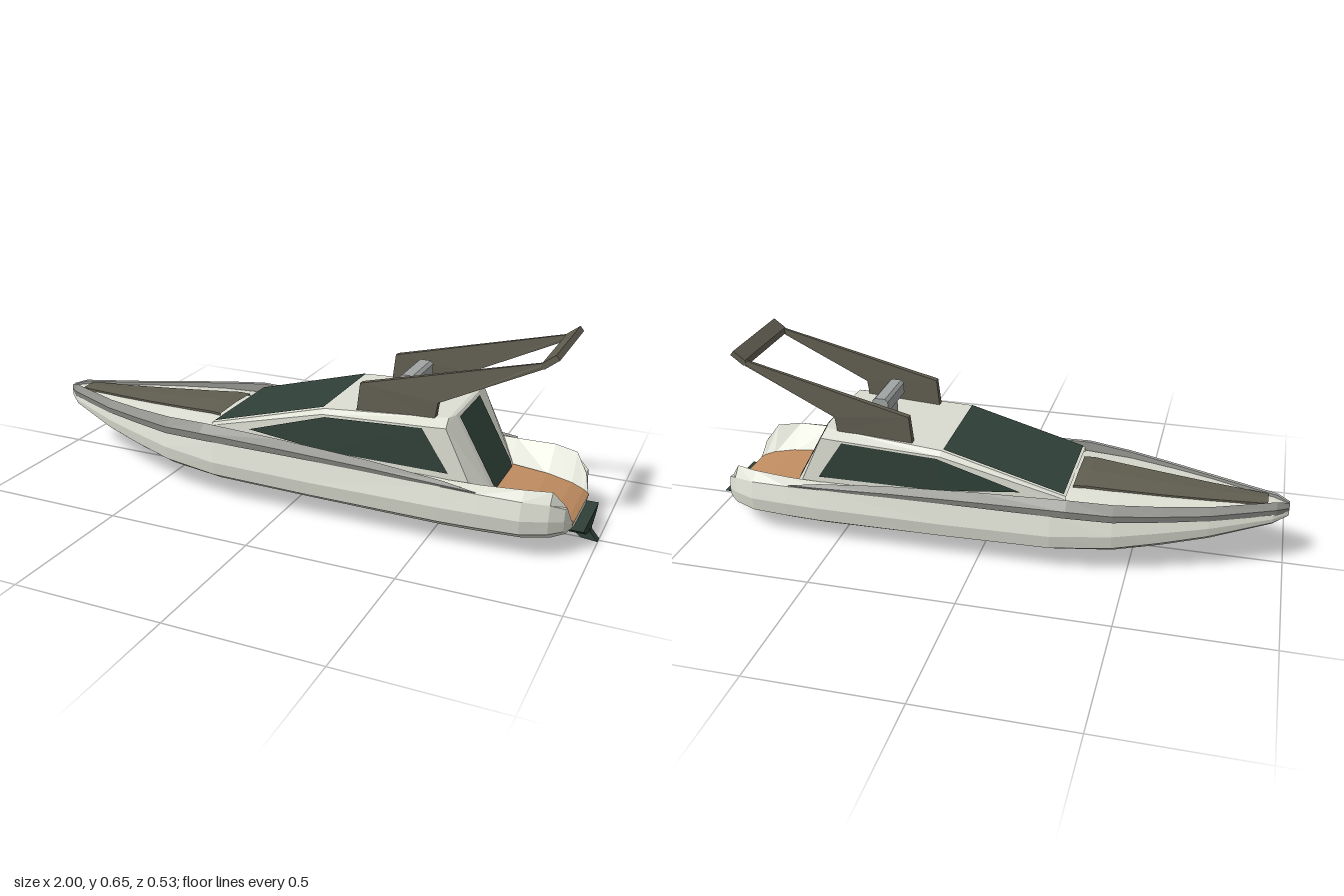
import * as THREE from 'three';

const paint = (name, color) => new THREE.MeshStandardMaterial({ name, color, side: THREE.DoubleSide });

// Flat-faced shell from convex polygons on the +z side, mirrored to -z
function shell(polys) {
  const pos = [];
  for (const p of polys) {
    for (let i = 1; i < p.length - 1; i++) {
      const tri = [p[0], p[i], p[i + 1]];
      tri.forEach(v => pos.push(...v));
      tri.reverse().forEach(([x, y, z]) => pos.push(x, y, -z));
    }
  }
  const g = new THREE.BufferGeometry();
  g.setAttribute('position', new THREE.Float32BufferAttribute(pos, 3));
  g.computeVertexNormals();
  return g;
}

// Quads between half cross-sections ordered along +x
function loft(rows) {
  const polys = [];
  for (let i = 0; i < rows.length - 1; i++) {
    for (let j = 0; j < rows[i].length - 1; j++) {
      polys.push([rows[i][j], rows[i + 1][j], rows[i + 1][j + 1], rows[i][j + 1]]);
    }
  }
  return polys;
}

// Side profile in x, y extruded across z, centred on z = 0
function slab(points, depth) {
  const shape = new THREE.Shape(points.map(p => new THREE.Vector2(...p)));
  return new THREE.ExtrudeGeometry(shape, { depth, bevelEnabled: false }).translate(0, 0, -depth / 2);
}

export function createModel() {
  const boat = new THREE.Group();
  boat.name = 'motorYacht';
  const white = paint('white gelcoat', 0xdcded2);
  const glass = paint('dark glass', 0x2f4038);
  const brown = paint('olive brown', 0x605d50);
  const teak = paint('teak', 0xc18d61);
  const railGrey = paint('rail grey', 0x8a8a86);
  const radarGrey = paint('radar grey', 0xa0a4a2);
  const add = (name, geometry, material) => {
    const m = new THREE.Mesh(geometry, material);
    m.name = name;
    boat.add(m);
    return m;
  };

  // Hull: x, half width, keel y, widest y, shoulder y, deck edge y, deck centre y
  const stations = [
    [-1, 0.01, 0.185, 0.195, 0.205, 0.22, 0.225],
    [-0.95, 0.052, 0.162, 0.19, 0.202, 0.225, 0.232],
    [-0.75, 0.14, 0.11, 0.175, 0.205, 0.228, 0.236],
    [-0.6, 0.19, 0.08, 0.165, 0.205, 0.231, 0.243],
    [-0.45, 0.235, 0.057, 0.155, 0.207, 0.234, 0.251],
    [-0.25, 0.265, 0.046, 0.145, 0.215, 0.235, 0.256],
    [0.1, 0.267, 0.04, 0.14, 0.214, 0.225, 0.24],
    [0.55, 0.267, 0.033, 0.14, 0.205, 0.215, 0.18],
    [0.67, 0.262, 0.034, 0.14, 0.2, 0.216, 0.15],
    [0.8, 0.25, 0.037, 0.137, 0.195, 0.221, 0.14],
    [0.88, 0.215, 0.043, 0.135, 0.185, 0.217, 0.122],
    [0.92, 0.175, 0.055, 0.125, 0.165, 0.16, 0.105],
    [0.935, 0.12, 0.072, 0.098, 0.102, 0.1, 0.098],
  ];
  const hullRows = stations.map(([x, w, keel, wide, shoulder, edge, centre]) => {
    const aft = x > 0.6;
    const up = f => keel + f * (wide - keel);
    return [
      [x, keel, 0], [x, up(0.05), 0.45 * w], [x, up(0.2), 0.77 * w], [x, up(0.52), 0.965 * w],
      [x, wide, w], [x, shoulder, 0.945 * w], [x, edge, aft ? Math.max(0.8 * w, 0.117) : 0.8 * w],
      [x, aft ? centre : edge + 0.8 * (centre - edge), aft ? 0.116 : 0.45 * w], [x, centre, 0],
    ];
  });
  const transom = [...hullRows[hullRows.length - 1]].reverse();
  add('hull', shell([...loft(hullRows), transom, [...hullRows[0]]]), white);

  // Side rail: x, outer z, low y, top y, inner z
  const rail = [
    [-1, 0.012, 0.2, 0.232, 0], [-0.96, 0.047, 0.2, 0.243, 0.024], [-0.75, 0.141, 0.202, 0.242, 0.108],
    [-0.6, 0.191, 0.204, 0.248, 0.156], [-0.45, 0.236, 0.206, 0.256, 0.197], [-0.3, 0.258, 0.214, 0.266, 0.22],
    [0, 0.262, 0.215, 0.257, 0.224], [0.3, 0.259, 0.21, 0.242, 0.228], [0.55, 0.255, 0.203, 0.222, 0.236],
    [0.66, 0.249, 0.2, 0.206, 0.242],
  ].map(([x, out, low, top, inn]) => [
    [x, low, out - 0.004], [x, low + 0.5 * (top - low), out],
    [x, top, inn + 0.006], [x, top - 0.004, inn], [x, low, Math.max(inn - 0.008, 0)],
  ]);
  add('sideRail', shell(loft(rail)), railGrey);

  // Cabin: base, shoulder, roof edge and centre at each step
  const roofCorner = [0.54, 0.4, 0.165], shoulder = [0.545, 0.38, 0.208], base = [0.64, 0.18, 0.205];
  const innerTop = [0.55, 0.395, 0.12], innerBottom = [0.685, 0.15, 0.118];
  const cabinRows = [
    [[-0.29, 0.235, 0.19], [-0.29, 0.247, 0.19], [-0.29, 0.257, 0.186], [-0.29, 0.257, 0]],
    [[0.13, 0.215, 0.212], [0.13, 0.36, 0.207], [0.13, 0.374, 0.188], [0.13, 0.374, 0]],
    [[0.5, 0.19, 0.212], [0.5, 0.378, 0.21], [0.5, 0.397, 0.168], [0.5, 0.397, 0]],
    [base, shoulder, roofCorner, [0.54, 0.4, 0]],
  ];
  add('cabin', shell([
    ...loft(cabinRows),
    [shoulder, base, innerBottom, innerTop], [roofCorner, shoulder, innerTop],
    [roofCorner, innerTop, [0.55, 0.395, 0], [0.54, 0.4, 0]],
    [innerTop, innerBottom, [0.685, 0.15, 0], [0.55, 0.395, 0]],
  ]), white);

  // Windows, just proud of the cabin faces
  add('windshield', shell([
    [[-0.282, 0.264, 0.183], [0.124, 0.377, 0.183], [0.124, 0.377, 0], [-0.282, 0.264, 0]],
  ]), glass);
  add('sideWindow', shell([
    [[-0.14, 0.262, 0.203], [0.14, 0.238, 0.216], [0.14, 0.354, 0.212]],
    [[0.14, 0.238, 0.216], [0.56, 0.235, 0.214], [0.47, 0.372, 0.214], [0.14, 0.354, 0.212]],
  ]), glass);
  add('aftWindow', shell([
    [[0.558, 0.388, 0.107], [0.676, 0.175, 0.104], [0.684, 0.16, 0.094], [0.684, 0.16, 0], [0.558, 0.388, 0]],
  ]), glass);

  // Foredeck sun pad, ridged along the middle
  const pad = [
    [-0.93, 0.035, 0.237, 0.24], [-0.75, 0.058, 0.241, 0.244], [-0.6, 0.078, 0.247, 0.251],
    [-0.45, 0.095, 0.255, 0.26], [-0.34, 0.108, 0.262, 0.268], [-0.3, 0.11, 0.26, 0.264],
  ].map(([x, z, edge, mid]) => [[x, edge - 0.008, z], [x, edge, z], [x, mid, 0]]);
  add('sunPad', shell(loft(pad)), brown);

  // Cockpit sole running down to the transom
  const sole = [[0.67, 0.16], [0.72, 0.155], [0.8, 0.147], [0.88, 0.129], [0.92, 0.112], [0.938, 0.099]]
    .map(([x, y]) => [[x, y - 0.008, 0.118], [x, y, 0.118], [x, y, 0]]);
  add('cockpitSole', shell(loft(sole)), teak);

  // Swim platform and outdrive
  const platform = [0.9, 0.972].map(x => [
    [x, 0.03, 0], [x, 0.037, 0.04], [x, 0.052, 0.08], [x, 0.076, 0.117], [x, 0.076, 0],
  ]);
  add('swimPlatform', shell([...loft(platform), [...platform[1]].reverse()]), glass);
  add('outdrive', slab([[0.9, 0.045], [0.945, 0.006], [1, 0], [0.975, 0.03], [0.97, 0.05]], 0.028), glass);

  // Radar arch: two legs thinning towards the top, and a crossbar
  const leg = [[0.235, 0.38], [0.245, 0.472], [0.82, 0.616], [0.855, 0.645], [0.866, 0.632],
    [0.822, 0.598], [0.505, 0.445], [0.497, 0.39]];
  for (const side of [1, -1]) {
    const g = slab(leg, 2);
    const p = g.attributes.position;
    for (let i = 0; i < p.count; i++) {
      const t = THREE.MathUtils.clamp((p.getY(i) - 0.445) / 0.155, 0, 1);
      p.setZ(i, side * (0.16 - 0.002 * t) + p.getZ(i) * (0.012 - 0.007 * t));
    }
    g.computeVertexNormals();
    add(side > 0 ? 'leftArchLeg' : 'rightArchLeg', g, brown);
  }
  add('archCrossbar', slab([[0.81, 0.598], [0.815, 0.616], [0.855, 0.646], [0.867, 0.631], [0.824, 0.598]], 0.33), brown);

  // Radar scanner on its post
  add('radarPost', new THREE.BoxGeometry(0.04, 0.06, 0.066).translate(0.372, 0.412, 0), radarGrey);
  add('radarScanner', slab([[0.355, 0.432], [0.39, 0.432], [0.4, 0.443], [0.4, 0.48],
    [0.39, 0.49], [0.355, 0.49], [0.345, 0.48], [0.345, 0.443]], 0.174), radarGrey);

  return boat;
}
